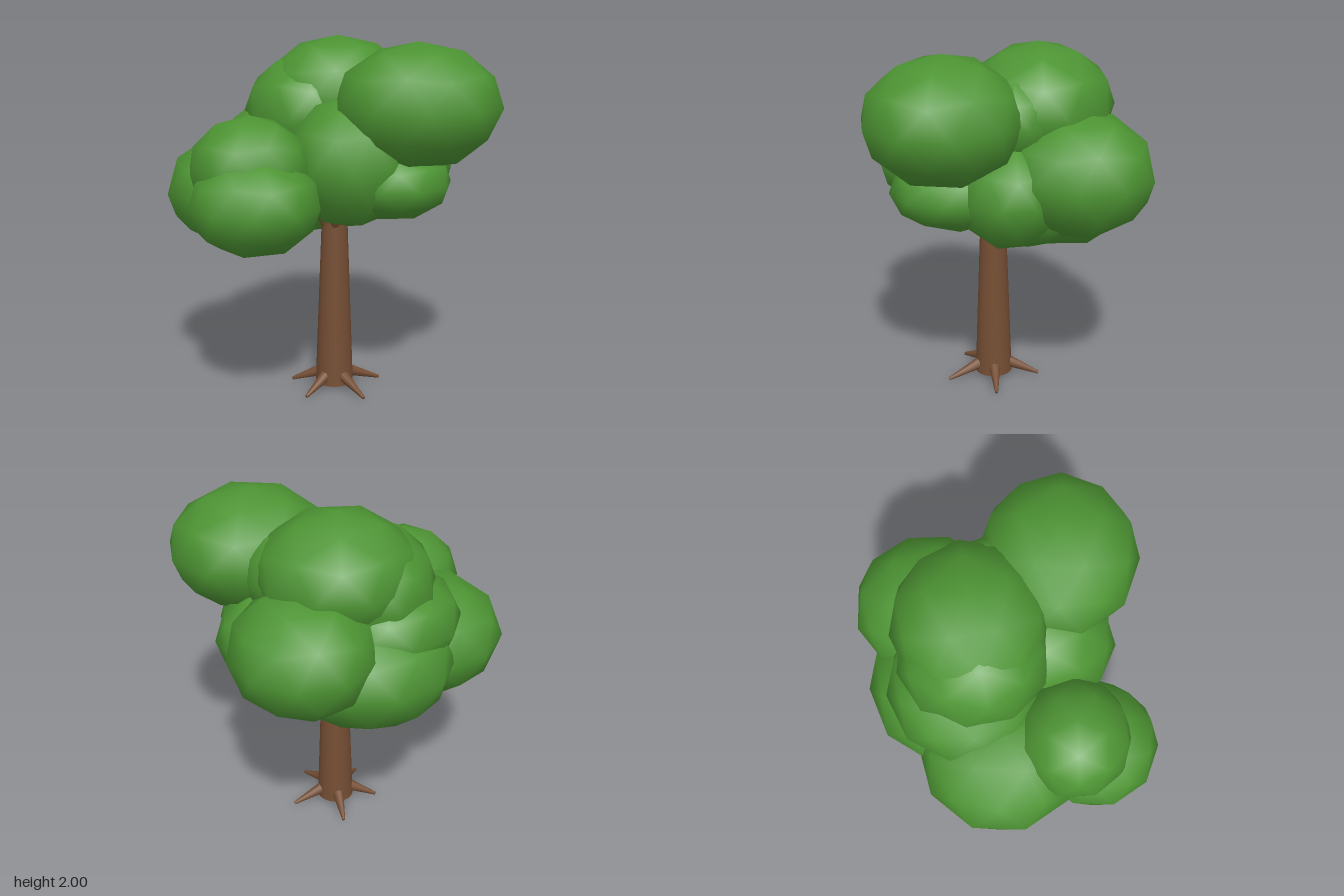
import * as THREE from 'three';

const leafGreen = new THREE.MeshStandardMaterial({ color: 0x4d9433 });
const barkBrown = new THREE.MeshStandardMaterial({ color: 0x754e34 });

// Tapered limb between two points
function limb(name, from, to, rFrom, rTo, sides) {
  const a = new THREE.Vector3(...from), b = new THREE.Vector3(...to);
  const dir = b.clone().sub(a);
  const mesh = new THREE.Mesh(new THREE.CylinderGeometry(rTo, rFrom, dir.length(), sides), barkBrown);
  mesh.name = name;
  mesh.position.copy(a).add(b).multiplyScalar(0.5);
  mesh.quaternion.setFromUnitVectors(new THREE.Vector3(0, 1, 0), dir.normalize());
  return mesh;
}

export function createModel() {
  const tree = new THREE.Group();
  tree.name = 'tree';
  const cx = 0.027, cz = 0.06;

  // Trunk
  tree.add(limb('trunk', [cx, 0.025, cz], [cx, 1.12, cz], 0.108, 0.068, 20));

  // Five pointed roots around the foot: angle and reach
  const roots = new THREE.Group();
  roots.name = 'roots';
  for (const [deg, reach] of [[58, 0.285], [130, 0.265], [194, 0.25], [270, 0.268], [348, 0.272]]) {
    const a = THREE.MathUtils.degToRad(deg), c = Math.cos(a), s = Math.sin(a);
    roots.add(limb('root', [cx + 0.07 * c, 0.085, cz + 0.07 * s],
      [cx + reach * c, 0.013, cz + reach * s], 0.036, 0.009, 10));
  }
  tree.add(roots);

  // Short branches spreading from the trunk top into the leaves
  const branches = new THREE.Group();
  branches.name = 'branches';
  for (let i = 0; i < 5; i++) {
    const a = THREE.MathUtils.degToRad(90 + 72 * i), c = Math.cos(a), s = Math.sin(a);
    branches.add(limb('branch', [cx + 0.04 * c, 0.97, cz + 0.04 * s],
      [cx + 0.16 * c, 1.16, cz + 0.16 * s], 0.034, 0.024, 10));
  }
  tree.add(branches);

  // Leaf clumps: name, centre, radii, yaw
  const clumps = [
    ['frontTopClump', [0.455, 1.655, 0.25], [0.455, 0.338, 0.425], 0],
    ['crownClump', [0.06, 1.66, -0.19], [0.44, 0.34, 0.415], 0.2],
    ['crownSideClump', [-0.09, 1.57, -0.17], [0.385, 0.345, 0.4], 0.9],
    ['crownInnerClump', [0.28, 1.63, -0.1], [0.26, 0.25, 0.25], 0.1],
    ['lowerFrontClump', [-0.41, 1.18, 0.48], [0.35, 0.268, 0.345], 0],
    ['upperFrontClump', [-0.435, 1.345, 0.365], [0.325, 0.285, 0.305], 0.7],
    ['sideClump', [-0.45, 1.165, -0.01], [0.463, 0.337, 0.45], 0],
    ['backLowClump', [-0.08, 1.185, -0.32], [0.47, 0.35, 0.43], 0.15],
    ['backMidClump', [-0.17, 1.39, -0.21], [0.435, 0.29, 0.42], 0.2],
    ['backClump', [0.28, 1.35, -0.43], [0.4, 0.34, 0.41], -0.25],
    ['centreClump', [0.1, 1.35, 0.2], [0.35, 0.36, 0.38], 0.6],
    ['rightClump', [0.36, 1.26, -0.09], [0.345, 0.3, 0.29], 0.3],
    ['underFrontClump', [0.33, 1.245, 0.22], [0.32, 0.205, 0.35], 0.95],
    ['underBackClump', [0.28, 1.18, -0.2], [0.3, 0.23, 0.27], 0.5],
  ];
  const foliage = new THREE.Group();
  foliage.name = 'foliage';
  // Faceted ball with one corner at the top
  const ball = new THREE.IcosahedronGeometry(1, 1);
  ball.rotateZ(-Math.atan(2 / (1 + Math.sqrt(5))));
  for (const [name, centre, radii, yaw] of clumps) {
    const geo = ball.clone().rotateY(yaw).scale(...radii);
    const mesh = new THREE.Mesh(geo, leafGreen);
    mesh.name = name;
    mesh.position.set(...centre);
    foliage.add(mesh);
  }
  tree.add(foliage);
  return tree;
}
